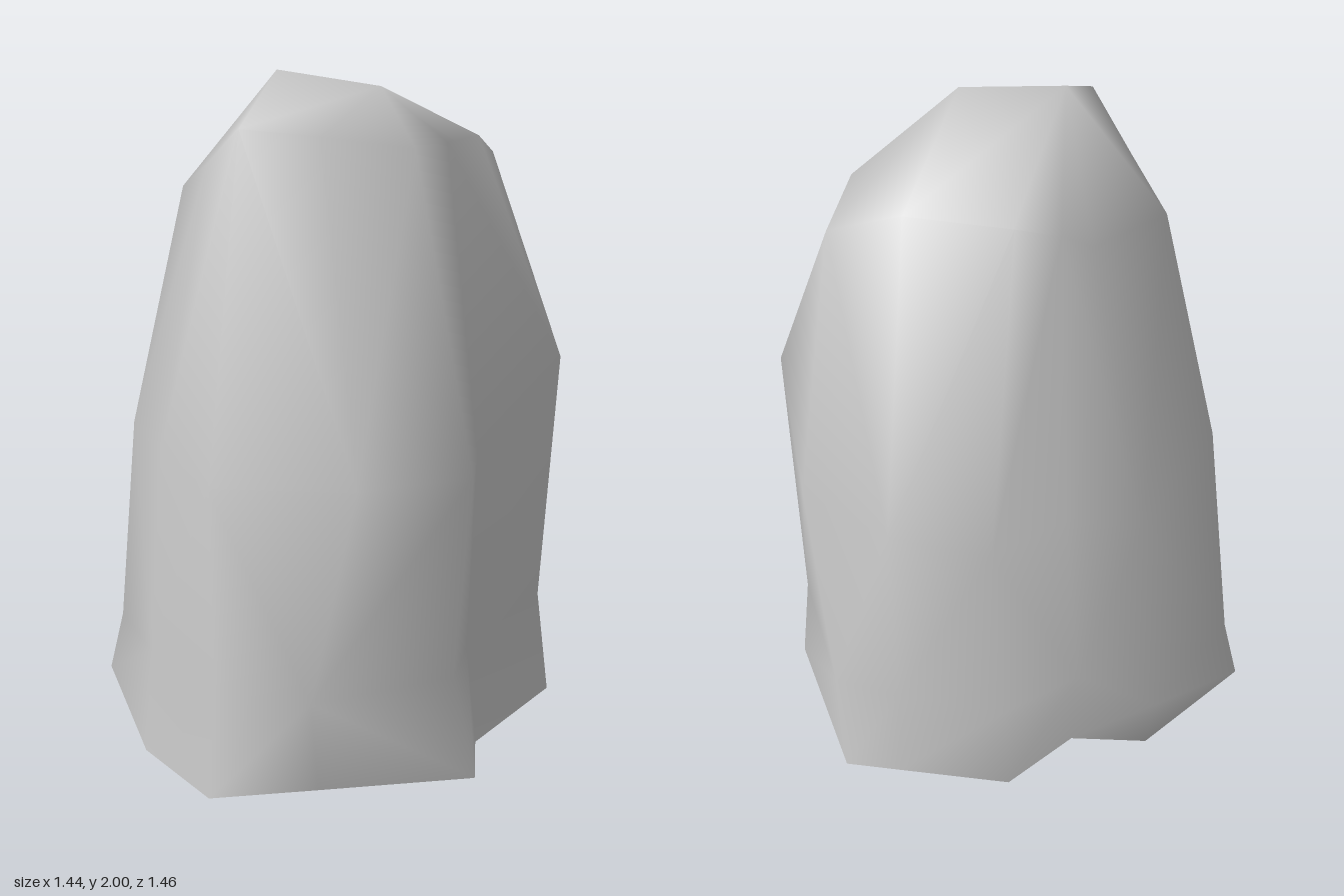
import * as THREE from 'three';
import { mergeVertices } from 'three/addons/utils/BufferGeometryUtils.js';

// Cross-sections [x, y, z], running counterclockwise from the front +x corner
const base = [[.62, 0, .37], [.57, 0, .15], [.705, 0, -.295], [.38, 0, -.73], [.21, 0, -.707], [-.13, 0, -.66],
  [-.27, 0, -.43], [-.50, 0, -.375], [-.72, 0, .01], [-.36, 0, .52], [-.07, 0, .73], [.21, 0, .585]];
const foot = [[.545, .3, .35], [.53, .3, .13], [.66, .32, -.31], [.42, .3, -.67], [.21, .3, -.68], [-.12, .3, -.65],
  [-.29, .3, -.45], [-.53, .2, -.40], [-.67, .2, .01], [-.36, .3, .46], [-.08, .3, .65], [.21, .3, .65]];
const waist = [[.58, .9, .32], [.54, .9, .1], [.72, 1.14, -.21], [.54, .9, -.52], [.23, .9, -.64], [-.08, .9, -.64],
  [-.24, .9, -.43], [-.46, .9, -.395], [-.565, .9, .1], [-.36, .9, .36], [-.09, .9, .645], [.31, .9, .55]];
const shoulder = [[.365, 1.8, .2], [.41, 1.8, .02], [.45, 1.8, -.2], [.45, 1.73, -.4], [.23, 1.81, -.4], [-.08, 1.82, -.4],
  [-.18, 1.76, -.3], [-.25, 1.7, -.23], [-.385, 1.65, .09], [-.24, 1.74, .25], [-.08, 1.86, .41], [.13, 1.84, .34]];

// Two crown points shared by neighbouring columns
const peak = [-.08, 2, .1], crest = [.23, 1.96, .09];
const crown = shoulder.map((_, i) => (i < 5 || i === 11 ? crest : peak));

// True when point d lies outside the plane of triangle a, b, c
function isOutside(a, b, c, d) {
  const [A, B, C, D] = [a, b, c, d].map((p) => new THREE.Vector3(...p));
  return B.sub(A).cross(C.sub(A)).dot(D.sub(A)) > 0;
}

// Joins the rings, splitting each quad along its outer diagonal
function loft(rings) {
  const pos = [];
  const tri = (a, b, c) => {
    if (a !== b && b !== c && a !== c) pos.push(...a, ...b, ...c);
  };
  for (let r = 0; r < rings.length - 1; r++) {
    const lo = rings[r], hi = rings[r + 1];
    for (let i = 0; i < lo.length; i++) {
      const j = (i + 1) % lo.length;
      const a = lo[i], b = lo[j], c = hi[j], d = hi[i];
      if (isOutside(a, b, c, d)) {
        tri(a, b, d);
        tri(b, c, d);
      } else {
        tri(a, b, c);
        tri(a, c, d);
      }
    }
  }
  const raw = new THREE.BufferGeometry();
  raw.setAttribute('position', new THREE.Float32BufferAttribute(pos, 3));
  const geo = mergeVertices(raw, 1e-4);
  geo.computeVertexNormals();
  return geo;
}

export function createModel() {
  const group = new THREE.Group();
  group.name = 'standingRock';
  // Open underneath, so both sides show
  const stone = new THREE.MeshStandardMaterial({ color: 0xc8c8c8, side: THREE.DoubleSide });
  stone.name = 'grey stone';
  const rock = new THREE.Mesh(loft([base, foot, waist, shoulder, crown]), stone);
  rock.name = 'rock';
  group.add(rock);
  return group;
}
